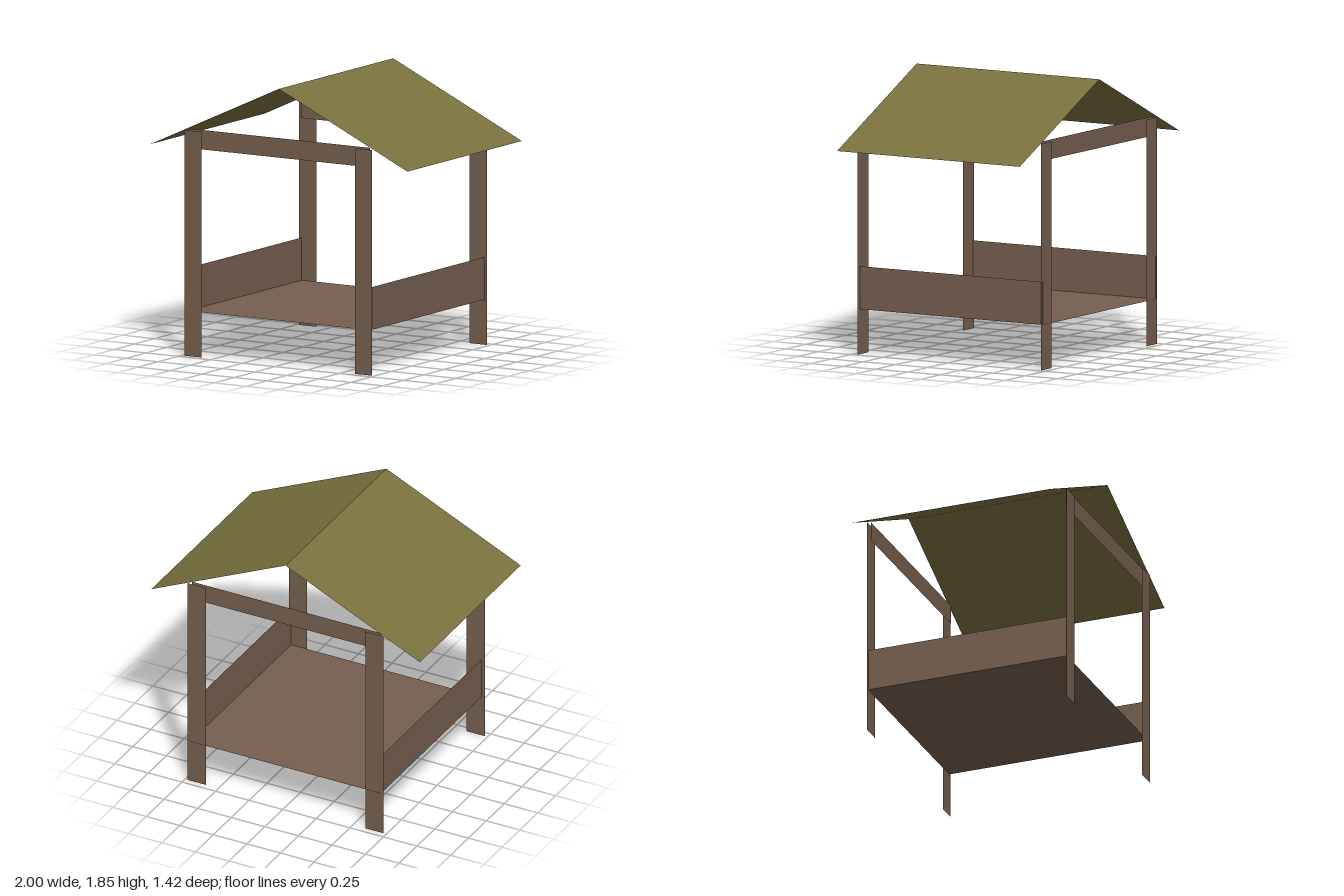
import * as THREE from 'three';

// Open shelter made of flat sheets: posts, beams, side boards, floor and gable roof
export function createModel() {
  const group = new THREE.Group();
  const wood = new THREE.MeshStandardMaterial({ color: 0x755e4e, side: THREE.DoubleSide });
  wood.name = 'brown wood';
  const thatch = new THREE.MeshStandardMaterial({ color: 0x7a713e, side: THREE.DoubleSide });
  thatch.name = 'olive roof';

  // Flat sheet of the given size, placed and turned
  function sheet(name, w, h, material, position, rotation = [0, 0, 0]) {
    const mesh = new THREE.Mesh(new THREE.PlaneGeometry(w, h), material);
    mesh.name = name;
    mesh.position.set(...position);
    mesh.rotation.set(...rotation);
    group.add(mesh);
    return mesh;
  }

  const depth = 1.41;
  const halfPi = Math.PI / 2;

  // Posts and cross beams at each end, beams just inside the posts
  for (const end of [1, -1]) {
    const turn = [0, end > 0 ? 0 : Math.PI, 0];
    const where = end > 0 ? 'front' : 'back';
    for (const side of [1, -1]) {
      sheet(where + (side > 0 ? 'LeftPost' : 'RightPost'), 0.135, 1.505, wood,
        [side * 0.6625, 0.7525, end * 0.707], turn);
    }
    sheet(where + 'Beam', 1.41, 0.13, wood, [0, 1.45, end * 0.692], turn);
  }

  // Floor
  sheet('floor', 1.42, depth, wood, [0, 0.3, -0.004], [-halfPi, 0, 0]);

  // Side boards and roof slopes
  const rise = 0.46;
  const slopeLength = Math.hypot(1, rise);
  for (const side of [1, -1]) {
    const label = side > 0 ? 'left' : 'right';
    sheet(label + 'SideBoard', depth, 0.285, wood,
      [side * 0.71, 0.4425, -0.004], [0, side * halfPi, 0]);
    const slope = sheet(label + 'RoofSlope', slopeLength, depth, thatch, [side * 0.5, 1.385 + rise / 2, -0.004]);
    slope.geometry.rotateX(-halfPi);
    slope.rotation.z = -side * Math.atan(rise);
  }

  return group;
}
